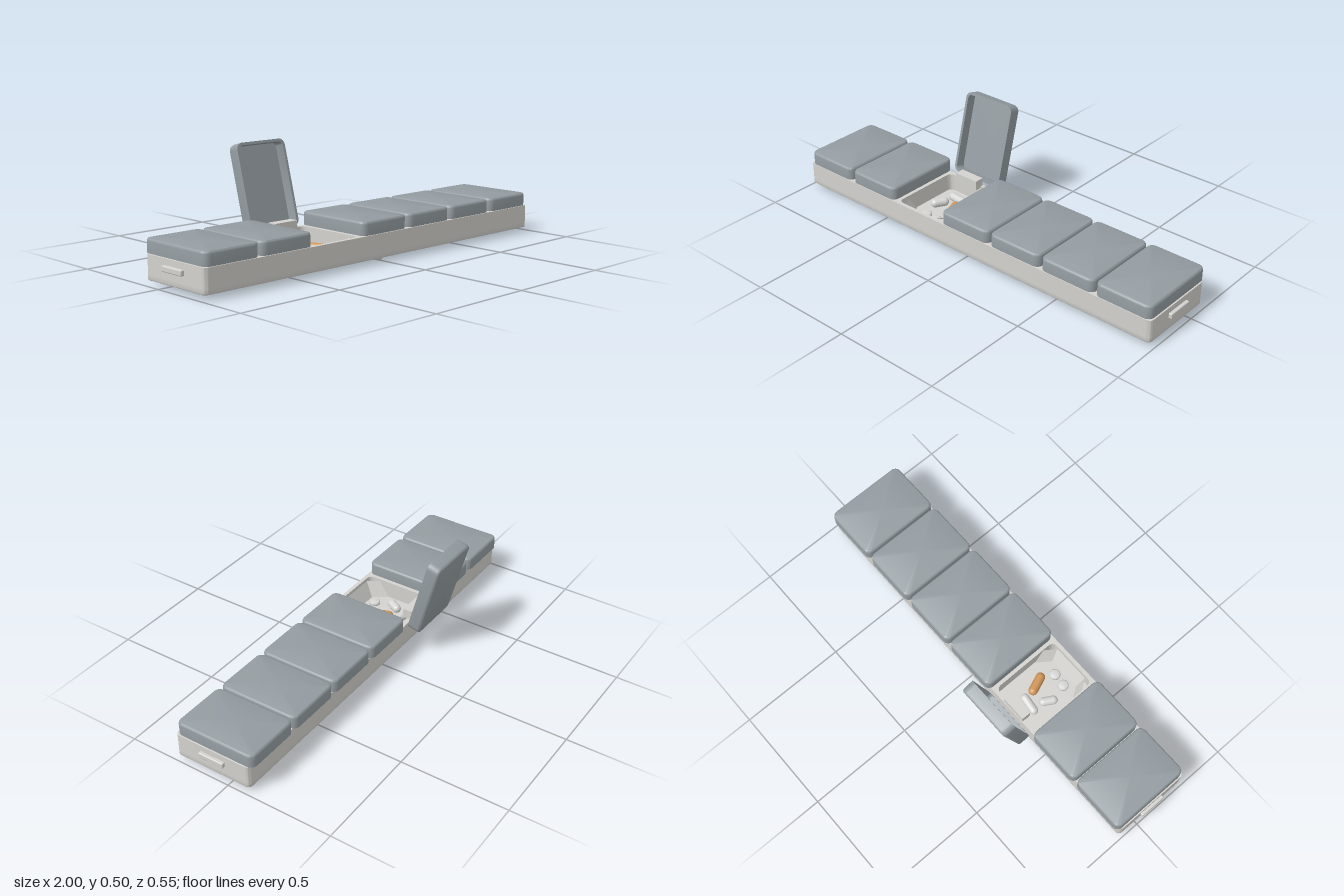
import * as THREE from 'three';
import { toCreasedNormals } from 'three/addons/utils/BufferGeometryUtils.js';
import { RoundedBoxGeometry } from 'three/addons/geometries/RoundedBoxGeometry.js';

const PITCH = 0.281, FLOOR = 0.045, RIM = 0.127, MID_Z = 0.0875;

// Points of a rounded rectangle, as [x, z]
function roundedRing(w, d, r, steps = 6) {
  const pts = [];
  [[1, 1], [-1, 1], [-1, -1], [1, -1]].forEach(([sx, sz], q) => {
    for (let i = 0; i <= steps; i++) {
      const a = (q + i / steps) * Math.PI / 2;
      pts.push([sx * (w / 2 - r) + r * Math.cos(a), sz * (d / 2 - r) + r * Math.sin(a)]);
    }
  });
  return pts;
}

// Skin through rings [width, depth, radius, y], capped at both ends
function loft(rings) {
  const loops = rings.map(([w, d, r, y]) => roundedRing(w, d, r).map(([x, z]) => [x, y, z]));
  const n = loops[0].length, pos = [];
  const tri = (a, b, c) => pos.push(...a, ...b, ...c);
  const first = loops[0], last = loops[loops.length - 1];
  for (let i = 0; i < n; i++) {
    const k = (i + 1) % n;
    tri([0, first[0][1], 0], first[i], first[k]);
    for (let j = 0; j < loops.length - 1; j++) {
      const a = loops[j], b = loops[j + 1];
      tri(a[i], b[i], a[k]);
      tri(a[k], b[i], b[k]);
    }
    tri([0, last[0][1], 0], last[k], last[i]);
  }
  const g = new THREE.BufferGeometry();
  g.setAttribute('position', new THREE.Float32BufferAttribute(pos, 3));
  return toCreasedNormals(g, 0.7);
}

export function createModel() {
  const model = new THREE.Group();
  model.name = 'pillOrganizer';
  const mat = (name, color) => Object.assign(new THREE.MeshStandardMaterial({ color }), { name });
  const shellMat = mat('warm light grey', 0xd3d2ce);
  const lidMat = mat('slate grey', 0x949ca1);
  const pillMat = mat('pale pill', 0xd6d7d5);
  const orangeMat = mat('orange pill', 0xd0955a);
  const rampMat = mat('light grey ramp', 0xd3d2ce);
  rampMat.side = THREE.DoubleSide;

  const add = (parent, name, geo, material, x = 0, y = 0, z = 0) => {
    const m = new THREE.Mesh(geo, material);
    m.name = name;
    m.position.set(x, y, z);
    parent.add(m);
    return m;
  };

  // Bottom slab with a softened lower edge
  add(model, 'baseFloor', loft([
    [1.962, 0.367, 0.016, 0.02], [1.968, 0.373, 0.019, 0.022], [1.97, 0.375, 0.02, 0.025], [1.97, 0.375, 0.02, FLOOR],
  ]), shellMat, 0, 0, MID_Z);

  // Walls with seven compartments cut out
  const walls = new THREE.Shape(roundedRing(1.97, 0.375, 0.02).map(([x, z]) => new THREE.Vector2(x, z)));
  for (let i = -3; i <= 3; i++) {
    const ring = roundedRing(0.256, 0.34, 0.025).map(([x, z]) => new THREE.Vector2(x + i * PITCH, z));
    walls.holes.push(new THREE.Path(ring));
  }
  const wallGeo = new THREE.ExtrudeGeometry(walls, { depth: RIM - FLOOR, bevelEnabled: false });
  wallGeo.rotateX(Math.PI / 2);
  add(model, 'baseWalls', toCreasedNormals(wallGeo, 0.6), shellMat, 0, RIM, MID_Z);

  // Scoop at the front of a compartment: floor line and rim line
  const low = [[-0.126, 0.15], [-0.08, 0.215], [0.08, 0.215], [0.126, 0.15]];
  const high = [[-0.128, 0.2], [-0.092, 0.252], [0.092, 0.252], [0.128, 0.2]];
  const rampPos = [];
  for (let i = 0; i < 3; i++) {
    const a = [low[i][0], FLOOR, low[i][1]], b = [low[i + 1][0], FLOOR, low[i + 1][1]];
    const c = [high[i][0], RIM - 0.01, high[i][1]], d = [high[i + 1][0], RIM - 0.01, high[i + 1][1]];
    rampPos.push(...a, ...d, ...b, ...a, ...c, ...d);
  }
  const rampGeo = new THREE.BufferGeometry();
  rampGeo.setAttribute('position', new THREE.Float32BufferAttribute(rampPos, 3));
  rampGeo.computeVertexNormals();

  // Hollow lid, hinged at its lower back edge
  const lidGeo = loft([
    [0.248, 0.366, 0.022, 0.048], [0.248, 0.366, 0.022, 0],
    [0.272, 0.39, 0.03, 0], [0.272, 0.39, 0.03, 0.048],
    [0.269, 0.387, 0.0285, 0.054], [0.263, 0.381, 0.0255, 0.0585], [0.254, 0.372, 0.021, 0.06],
  ]);

  for (let i = -3; i <= 3; i++) {
    const unit = new THREE.Group();
    unit.name = 'compartment' + (i + 4);
    unit.position.x = i * PITCH;
    model.add(unit);

    const hinge = new THREE.Group();
    hinge.name = 'lidHinge';
    hinge.position.set(0, 0.128, -0.117);
    if (i === -1) hinge.rotation.x = -THREE.MathUtils.degToRad(105);
    unit.add(hinge);
    add(hinge, 'lid', lidGeo, lidMat, 0, 0, 0.195);

    add(unit, 'frontScoop', rampGeo, rampMat);
    add(unit, 'hingeBlock', new THREE.BoxGeometry(0.125, 0.045, 0.045), shellMat, 0, 0.143, -0.074);

    // Ladder of ribs underneath
    for (const s of [-1, 1]) {
      add(unit, 'bottomRail', new THREE.BoxGeometry(0.01, 0.012, 0.177), shellMat, s * 0.041, 0.016, 0.0815);
      add(unit, 'bottomCrossRib', new THREE.BoxGeometry(0.082, 0.008, 0.008), shellMat, 0, 0.018, 0.0815 + s * 0.055);
    }
  }

  // Grip tabs on both ends
  for (const s of [-1, 1]) {
    add(model, 'endTab', new RoundedBoxGeometry(0.03, 0.025, 0.126, 3, 0.005), shellMat, s * 0.985, 0.0875, 0.085);
  }

  // Three ball feet
  for (const [x, z] of [[-0.885, -0.073], [0.885, -0.073], [0, 0.231]]) {
    add(model, 'foot', new THREE.SphereGeometry(0.019, 24, 16), shellMat, x, 0.019, z);
  }

  // Pills in the open compartment: [x, z, radius, length, heading, material]
  const pills = [
    [-0.29, -0.005, 0.02, 0.11, -0.13, pillMat],
    [-0.335, 0.07, 0.02, 0.085, 1.05, pillMat],
    [-0.241, 0.083, 0.022, 0.115, -1.2, orangeMat],
  ];
  for (const [x, z, r, len, heading, m] of pills) {
    const geo = new THREE.CapsuleGeometry(r, len - 2 * r, 8, 20).rotateZ(Math.PI / 2);
    add(model, 'capsule', geo, m, x, FLOOR + r, z).rotation.y = heading;
  }
  const tablet = new THREE.LatheGeometry(
    [[0, 0], [0.019, 0.001], [0.025, 0.005], [0.025, 0.015], [0.019, 0.019], [0, 0.02]].map(p => new THREE.Vector2(...p)), 28);
  for (const [x, z] of [[-0.322, 0.172], [-0.259, 0.178]]) add(model, 'tablet', tablet, pillMat, x, FLOOR, z);

  return model;
}
